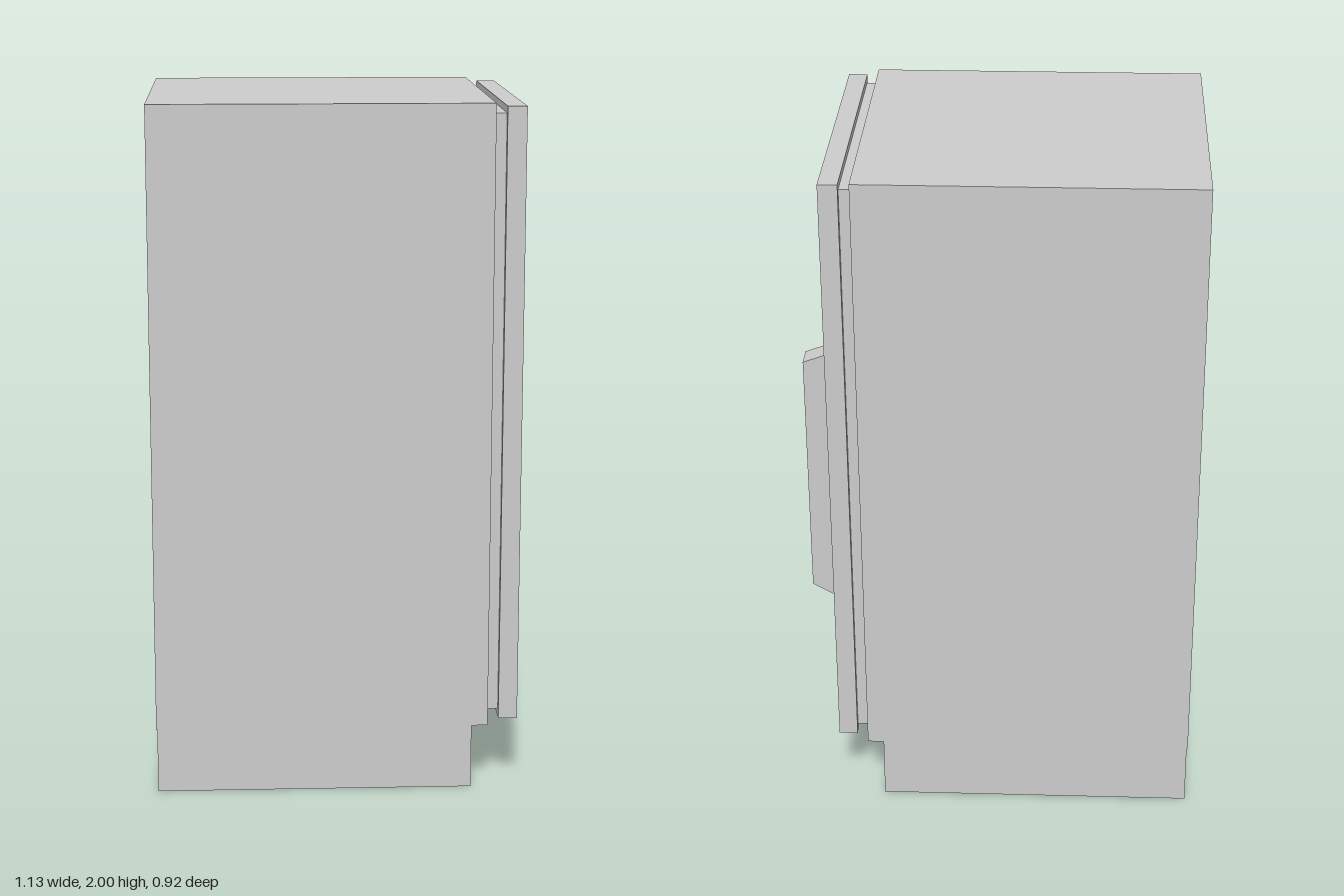
import * as THREE from 'three';

const material = new THREE.MeshStandardMaterial({ color: 0xcccccc, flatShading: true });

export function createModel() {
  const group = new THREE.Group();

  const add = (name, geometry) => {
    const mesh = new THREE.Mesh(geometry, material);
    mesh.name = name;
    group.add(mesh);
    return mesh;
  };

  // Box given by its extents on each axis
  const box = (name, [x0, x1], [y0, y1], [z0, z1]) =>
    add(name, new THREE.BoxGeometry(x1 - x0, y1 - y0, z1 - z0))
      .position.set((x0 + x1) / 2, (y0 + y1) / 2, (z0 + z1) / 2);

  const rect = (Type, halfWidth, y0, y1) => new Type([
    new THREE.Vector2(-halfWidth, y0), new THREE.Vector2(halfWidth, y0),
    new THREE.Vector2(halfWidth, y1), new THREE.Vector2(-halfWidth, y1),
  ]);

  // Rectangular frame around the door opening, extruded along x
  const frame = (name, x0, x1, halfWidth, y0, y1) => {
    const shape = rect(THREE.Shape, halfWidth, y0, y1);
    shape.holes.push(rect(THREE.Path, 0.395, 0.25, 1.94));
    const geometry = new THREE.ExtrudeGeometry(shape, { depth: x1 - x0, bevelEnabled: false });
    geometry.rotateY(Math.PI / 2).translate(x0, 0, 0);
    add(name, geometry);
  };

  // Cabinet on a recessed plinth
  box('cabinet', [-0.565, 0.402], [0.19, 2], [-0.46, 0.457]);
  box('plinth', [-0.562, 0.355], [0, 0.19], [-0.457, 0.455]);

  // Door: sunken panel, seal and raised outer frame
  box('doorPanel', [0.402, 0.42], [0.228, 1.97], [-0.422, 0.422]);
  frame('doorSeal', 0.42, 0.435, 0.422, 0.228, 1.97);
  frame('doorFrame', 0.435, 0.49, 0.44, 0.205, 1.99);

  // Pull handle: slanted arms joined by an upright grip
  const profile = new THREE.Shape([
    [0.42, 0.597], [0.562, 0.68], [0.562, 1.415], [0.42, 1.467],
    [0.42, 1.398], [0.498, 1.37], [0.498, 0.708], [0.42, 0.665],
  ].map(([x, y]) => new THREE.Vector2(x, y)));
  const handle = new THREE.ExtrudeGeometry(profile, { depth: 0.07, bevelEnabled: false });
  add('handle', handle.translate(0, 0, -0.35));

  return group;
}
